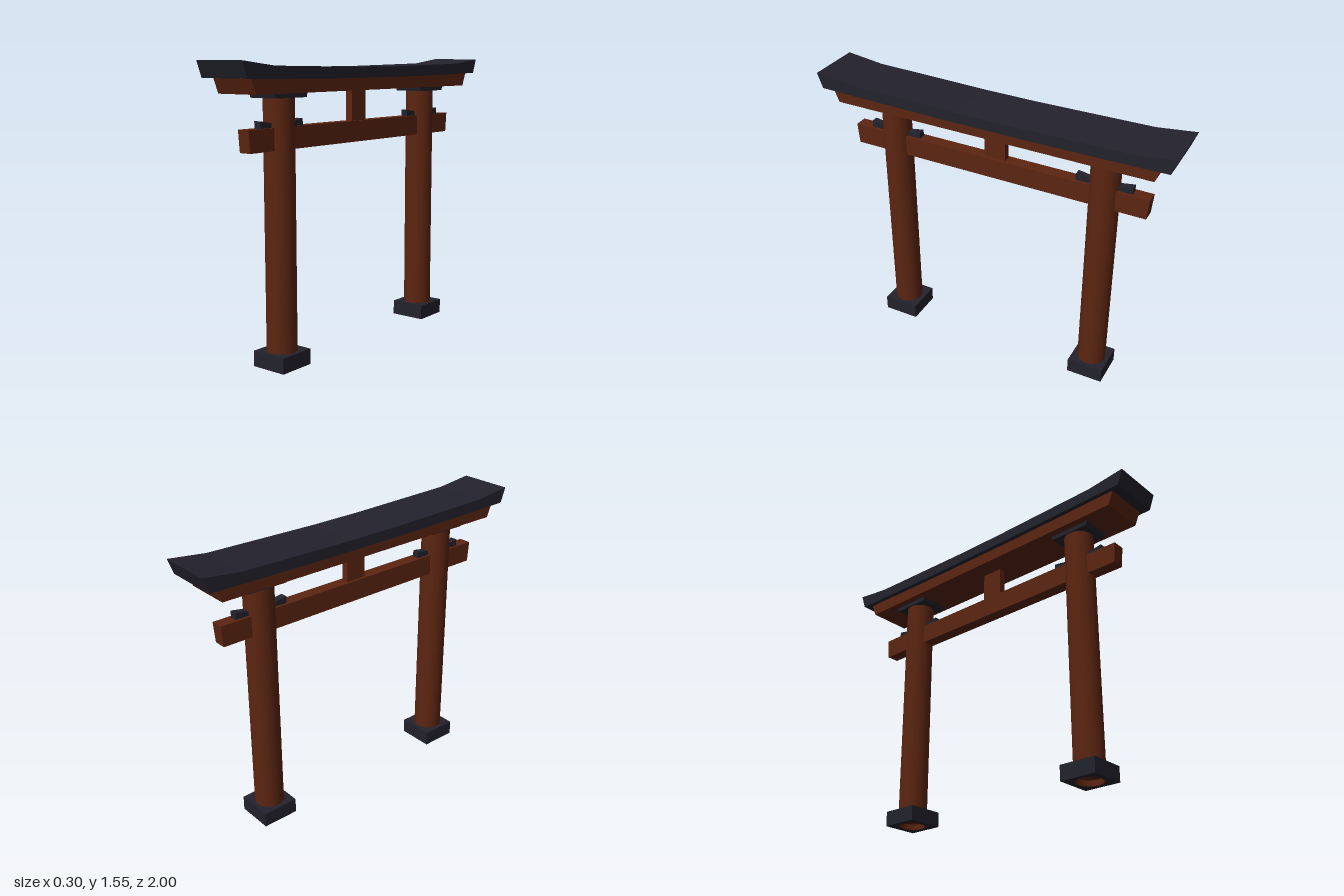
import * as THREE from 'three';

const wood = new THREE.MeshStandardMaterial({ color: 0x5c2511 });
wood.name = 'red brown wood';
const dark = new THREE.MeshStandardMaterial({ color: 0x23222d });
dark.name = 'dark slate';

export function createModel() {
  const gate = new THREE.Group();
  gate.name = 'gate';

  const add = (name, geometry, material, parent = gate) => {
    const mesh = new THREE.Mesh(geometry, material);
    mesh.name = name;
    parent.add(mesh);
    return mesh;
  };

  // Extrudes a [z, y] outline across x, centred on x = 0
  const slab = (points, width) => {
    const shape = new THREE.Shape(points.map(([z, y]) => new THREE.Vector2(z, y)));
    return new THREE.ExtrudeGeometry(shape, { depth: width, bevelEnabled: false })
      .translate(0, 0, -width / 2)
      .rotateY(-Math.PI / 2);
  };

  // Completes one half of an outline by mirroring it in z
  const mirrored = (half) => [...half, ...half.map(([z, y]) => [-z, y]).reverse()];

  // Roof beam with upswept ends
  add('roofBeam', slab(mirrored([
    [0.25, 1.455], [0.7, 1.46], [0.97, 1.465],
    [1, 1.547], [0.79, 1.522], [0.5, 1.517], [0.15, 1.511],
  ]), 0.3), dark);

  // Upper lintel beneath the roof
  add('upperLintel', slab(mirrored([[0.89, 1.39], [0.92, 1.463]]), 0.25), wood);

  // Tie beam through both columns, and the short post above it
  add('tieBeam', slab(mirrored([[0.845, 1.11], [0.855, 1.222]]), 0.07), wood);
  add('centrePost', new THREE.BoxGeometry(0.04, 0.18, 0.12).translate(0, 1.305, 0), wood);

  for (const side of [1, -1]) {
    const support = new THREE.Group();
    support.name = side > 0 ? 'frontSupport' : 'backSupport';
    support.position.z = side * 0.608;
    gate.add(support);

    // Column with a recessed foot
    const profile = [
      [0, 0.03], [0.068, 0.03], [0.068, 0.03], [0.068, 0], [0.068, 0],
      [0.079, 0], [0.079, 0], [0.079, 1.37],
    ].map(([r, y]) => new THREE.Vector2(r, y));
    add('column', new THREE.LatheGeometry(profile, 32), wood, support);

    // Square base pierced by the column
    const square = new THREE.Shape([
      new THREE.Vector2(-0.102, -0.102), new THREE.Vector2(0.102, -0.102),
      new THREE.Vector2(0.102, 0.102), new THREE.Vector2(-0.102, 0.102),
    ]);
    square.holes.push(new THREE.Path().absarc(0, 0, 0.077, 0, Math.PI * 2, true));
    add('base', new THREE.ExtrudeGeometry(square, { depth: 0.082, bevelEnabled: false, curveSegments: 32 })
      .rotateX(-Math.PI / 2), dark, support);

    // Flat plate on top of the column
    add('capital', slab(mirrored([[0.11, 1.366], [0.117, 1.391]]), 0.17), dark, support);

    // Wedges on the tie beam, either side of the column
    for (const end of [1, -1]) {
      const outline = [[0.06, 1.221], [0.152, 1.221], [0.152, 1.258], [0.06, 1.243]];
      add('wedge', slab(outline.map(([z, y]) => [z * end, y]), 0.04), dark, support);
    }
  }

  return gate;
}
